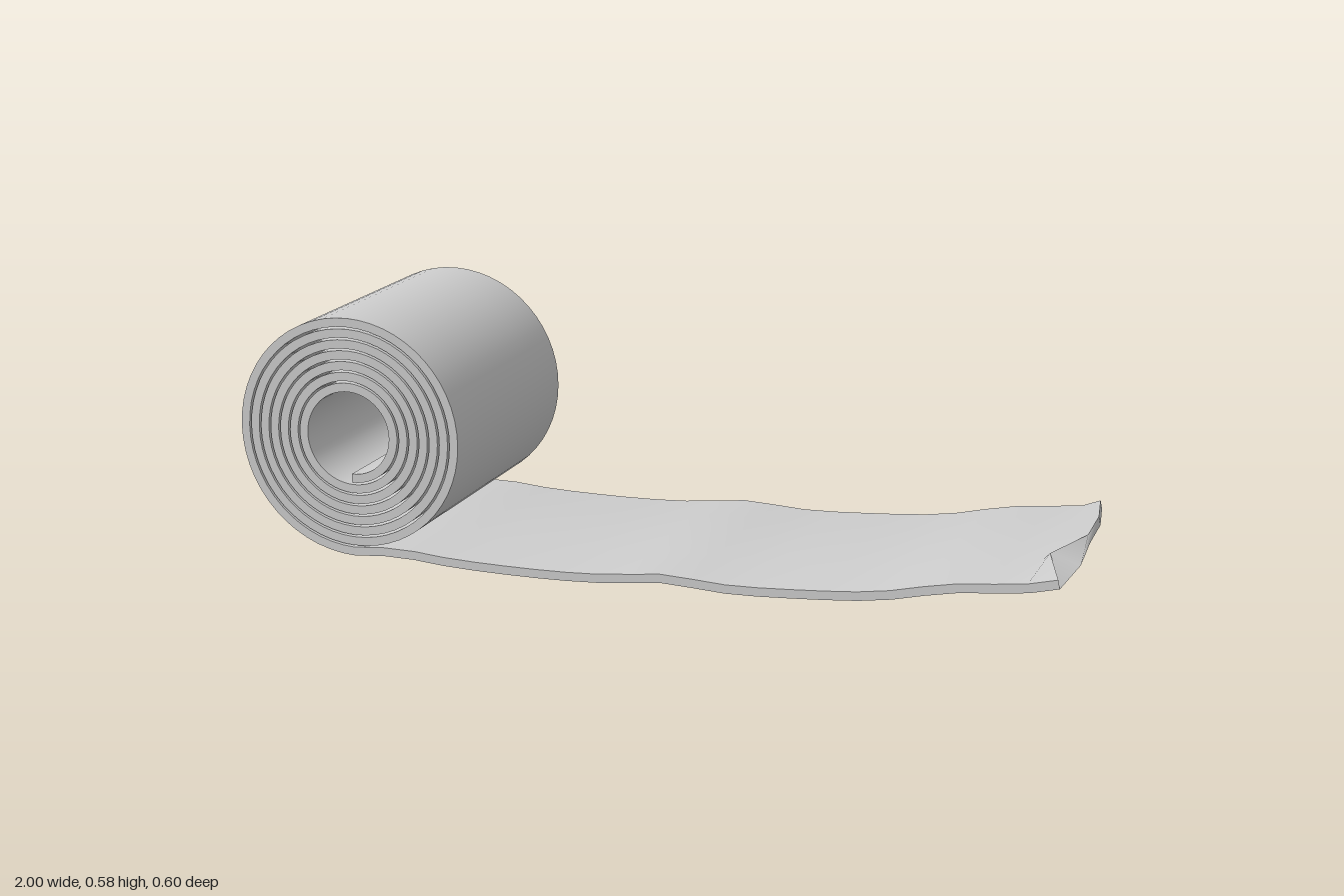
import * as THREE from 'three';

const THICK = 0.021;
const ZS = [-0.302, -0.151, 0, 0.151, 0.302];
const ARCH = [0, 0.008, 0.011, 0.008, 0];
const TRIM = [-0.035, -0.01, -0.005, 0.005, -0.01]; // uneven cut of the loose end
const NOTCH = [0, 0, 0, -0.065, 0];                 // torn nick in its upper face

// Path of the strip's outer side: spiral from the core outwards, then the loose tail
function stripPath() {
  const path = [];
  const turns = 7, perTurn = 56, cx = -0.71, cy = 0.3;
  for (let i = 0; i < turns * perTurn; i++) {
    const t = i / perTurn;
    const a = -Math.PI / 2 + t * Math.PI * 2;
    const r = 0.1145 + 0.026 * t;
    const nx = Math.cos(a), ny = Math.sin(a);
    path.push({ x: cx + r * nx, y: cy + r * ny, nx, ny, arch: 0 });
  }
  const curve = new THREE.CatmullRomCurve3([
    [-0.71, 0.0035], [-0.6, 0.012], [-0.45, 0.003], [-0.2, 0.003], [-0.06, 0.011], [0.07, 0.027],
    [0.22, 0.02], [0.4, 0.029], [0.58, 0.047], [0.75, 0.085], [0.9, 0.102], [0.995, 0.122],
  ].map(([x, y]) => new THREE.Vector3(x, y, 0)));
  const steps = 22;
  for (let i = 0; i <= steps; i++) {
    const p = curve.getPointAt(i / steps), d = curve.getTangentAt(i / steps);
    const arch = THREE.MathUtils.smoothstep(p.x, -0.71, -0.5);
    path.push({ x: p.x, y: p.y, nx: d.y, ny: -d.x, arch, end: i === steps });
  }
  return path;
}

// Smooth sheet through a grid of points
function sheet(rows, cols, point, flip) {
  const pos = [], index = [];
  for (let i = 0; i < rows; i++) for (let j = 0; j < cols; j++) pos.push(...point(i, j));
  for (let i = 0; i < rows - 1; i++) {
    for (let j = 0; j < cols - 1; j++) {
      const a = i * cols + j, b = a + cols, c = b + 1, d = a + 1;
      if (flip) index.push(a, d, b, b, d, c);
      else index.push(a, b, d, b, c, d);
    }
  }
  const g = new THREE.BufferGeometry();
  g.setAttribute('position', new THREE.Float32BufferAttribute(pos, 3));
  g.setIndex(index);
  g.computeVertexNormals();
  return g;
}

export function createModel() {
  const group = new THREE.Group();
  group.name = 'rolledStrip';
  const grey = new THREE.MeshStandardMaterial({ color: 0xcccccc });
  grey.name = 'light grey';

  const path = stripPath(), n = path.length, last = ZS.length - 1;
  // side 0 = outer/under face, side 1 = inner/upper face
  const at = (i, j, side) => {
    const p = path[i];
    const cut = p.end ? TRIM[j] + side * NOTCH[j] : 0;
    return [
      p.x - p.nx * THICK * side + cut,
      p.y - p.ny * THICK * side + ARCH[j] * p.arch,
      ZS[j],
    ];
  };
  const add = (name, geometry) => {
    const mesh = new THREE.Mesh(geometry, grey);
    mesh.name = name;
    group.add(mesh);
  };

  // Broad faces
  add('outerFace', sheet(n, ZS.length, (i, j) => at(i, j, 0), false));
  add('innerFace', sheet(n, ZS.length, (i, j) => at(i, j, 1), true));
  // Long narrow edges
  add('frontEdge', sheet(n, 2, (i, k) => at(i, last, k), false));
  add('backEdge', sheet(n, 2, (i, k) => at(i, 0, k), true));
  // Cut ends
  add('looseEnd', sheet(2, ZS.length, (k, j) => at(n - 1, j, k), false));
  add('coreEnd', sheet(2, ZS.length, (k, j) => at(0, j, k), true));
  return group;
}
